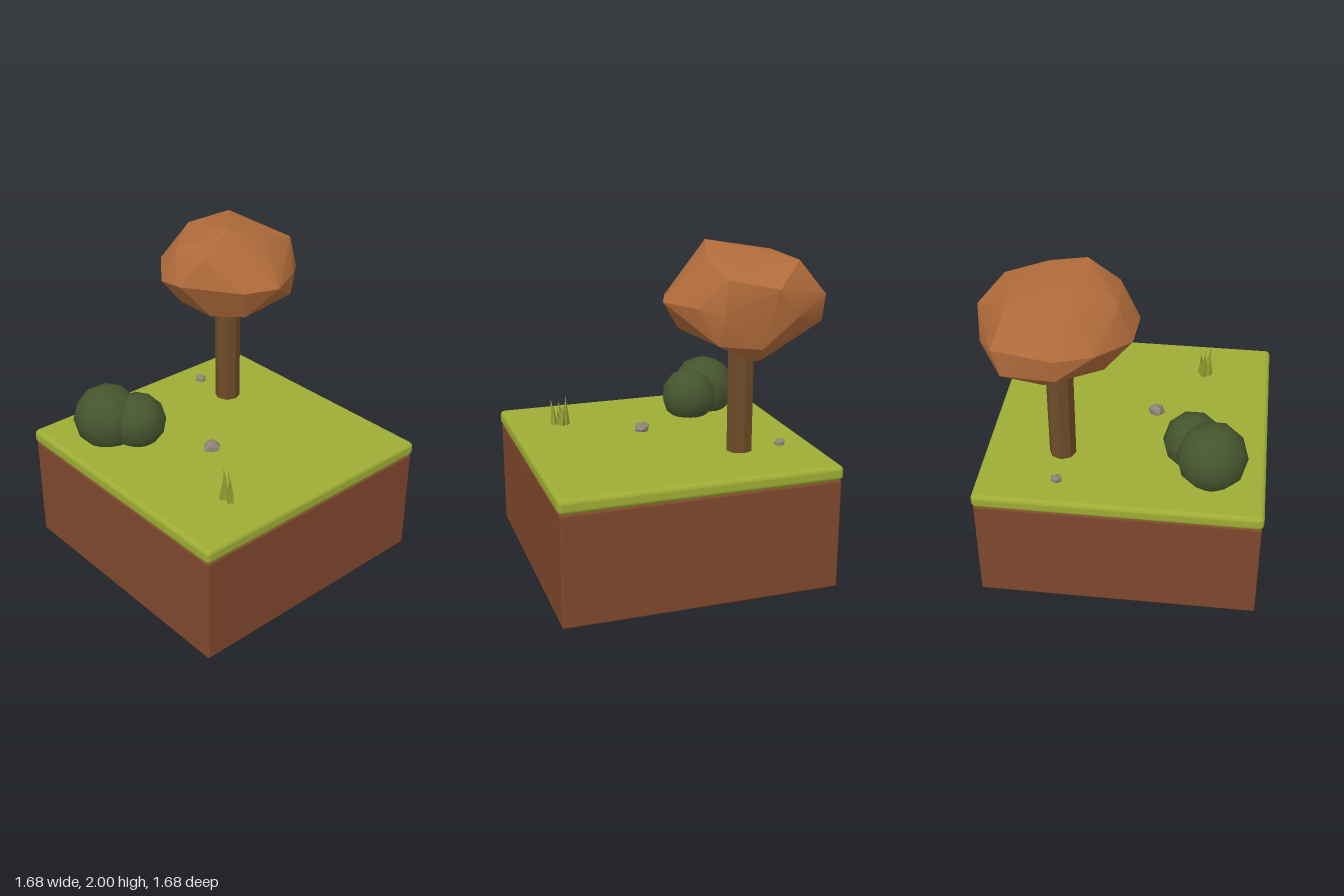
import * as THREE from 'three';
import { mergeVertices, toCreasedNormals } from 'three/addons/utils/BufferGeometryUtils.js';
import { RoundedBoxGeometry } from 'three/addons/geometries/RoundedBoxGeometry.js';
import { ConvexGeometry } from 'three/addons/geometries/ConvexGeometry.js';

const GROUND = 0.76;
const material = (color, flatShading = false) => new THREE.MeshStandardMaterial({ color, flatShading });

function add(parent, name, geometry, mat, x = 0, y = 0, z = 0) {
  const mesh = new THREE.Mesh(geometry, mat);
  mesh.name = name;
  mesh.position.set(x, y, z);
  parent.add(mesh);
  return mesh;
}

// Low-poly ball with smooth normals
function smoothBall(radius) {
  let g = new THREE.IcosahedronGeometry(radius, 1);
  g.deleteAttribute('normal');
  g.deleteAttribute('uv');
  g = mergeVertices(g, 1e-4);
  g.computeVertexNormals();
  return g;
}

// Cone whose tip leans sideways
function bladeGeometry(radius, height, leanX, leanZ) {
  const g = new THREE.ConeGeometry(radius, height, 4, 2);
  g.translate(0, height / 2, 0);
  const p = g.attributes.position;
  for (let i = 0; i < p.count; i++) {
    const t = (p.getY(i) / height) ** 2;
    p.setX(i, p.getX(i) + leanX * t);
    p.setZ(i, p.getZ(i) + leanZ * t);
  }
  return g;
}

export function createModel() {
  const model = new THREE.Group();
  model.name = 'gardenBlock';

  // Soil block and turf slab
  add(model, 'soil', new RoundedBoxGeometry(1.66, 0.67, 1.66, 2, 0.012), material(0x7f482d), 0, 0.335, 0);
  add(model, 'turf', new RoundedBoxGeometry(1.68, 0.09, 1.68, 3, 0.03), material(0x9dad34), 0, 0.715, 0);

  // Tree: eight-sided trunk and a faceted crown
  const tree = new THREE.Group();
  tree.name = 'tree';
  model.add(tree);
  const trunk = new THREE.CylinderGeometry(0.08, 0.08, 0.74, 8);
  add(tree, 'trunk', trunk, material(0x6e4b28, true), 0.375, 1.11, -0.375);

  const crownPoints = [
    // top
    [0.22, 2.0, -0.2], [0.4, 1.97, -0.4], [0.6, 1.92, -0.62], [0.25, 1.93, -0.6], [0.04, 1.87, -0.2],
    [0.02, 1.85, -0.45], [0.45, 1.92, -0.12], [0.7, 1.85, -0.16],
    // middle
    [0.36, 1.68, 0.1], [-0.08, 1.69, -0.29], [-0.06, 1.66, -0.49], [0.15, 1.68, 0.02], [0.6, 1.68, -0.02],
    [0.73, 1.66, -0.13], [0.8, 1.8, -0.42], [0.77, 1.64, -0.55], [0.66, 1.73, -0.76], [0.32, 1.7, -0.79],
    [0.11, 1.7, -0.71], [0.32, 1.57, -0.78], [0.62, 1.57, -0.76],
    // bottom
    [0.74, 1.46, -0.35], [0.68, 1.48, -0.12], [0.22, 1.49, -0.04], [0.1, 1.47, -0.22], [0.1, 1.47, -0.5],
    [0.3, 1.36, -0.45], [0.45, 1.32, -0.4], [0.6, 1.36, -0.4], [0.42, 1.41, -0.6],
  ].map((p) => new THREE.Vector3(...p));
  add(tree, 'crown', toCreasedNormals(new ConvexGeometry(crownPoints), 0.5), material(0xb06b3a));

  // Bush: two overlapping balls
  const bush = new THREE.Group();
  bush.name = 'bush';
  model.add(bush);
  const leaves = material(0x46552f);
  add(bush, 'bushLarge', smoothBall(0.21), leaves, -0.52, 0.89, -0.48);
  add(bush, 'bushSmall', smoothBall(0.178), leaves, -0.4, 0.88, -0.335);

  // Rocks
  const stone = material(0x8d8376, true);
  for (const [x, z, size, turn] of [[-0.145, 0.07, 0.055, 0.5], [0.37, -0.64, 0.038, 1.4]]) {
    const rock = add(model, 'rock', new THREE.IcosahedronGeometry(size, 0), stone, x, GROUND + size * 0.2, z);
    rock.rotation.set(0.4, turn, 0.2);
    rock.scale.y = 0.8;
  }

  // Grass tuft
  const tuft = new THREE.Group();
  tuft.name = 'grassTuft';
  model.add(tuft);
  const green = material(0x8f9c30, true);
  // x, z, radius, height, lean in x, lean in z
  const blades = [
    [-0.41, 0.49, 0.024, 0.19, -0.01, 0],
    [-0.445, 0.51, 0.024, 0.15, -0.01, 0.02],
    [-0.395, 0.525, 0.024, 0.17, 0.01, -0.03],
    [-0.435, 0.565, 0.026, 0.17, -0.02, 0.01],
    [-0.425, 0.535, 0.02, 0.11, 0.01, 0.02],
  ];
  blades.forEach(([x, z, r, h, lx, lz], i) => {
    add(tuft, 'grassBlade', bladeGeometry(r, h, lx, lz), green, x, GROUND - 0.005, z).rotation.y = i * 0.1;
  });

  return model;
}
